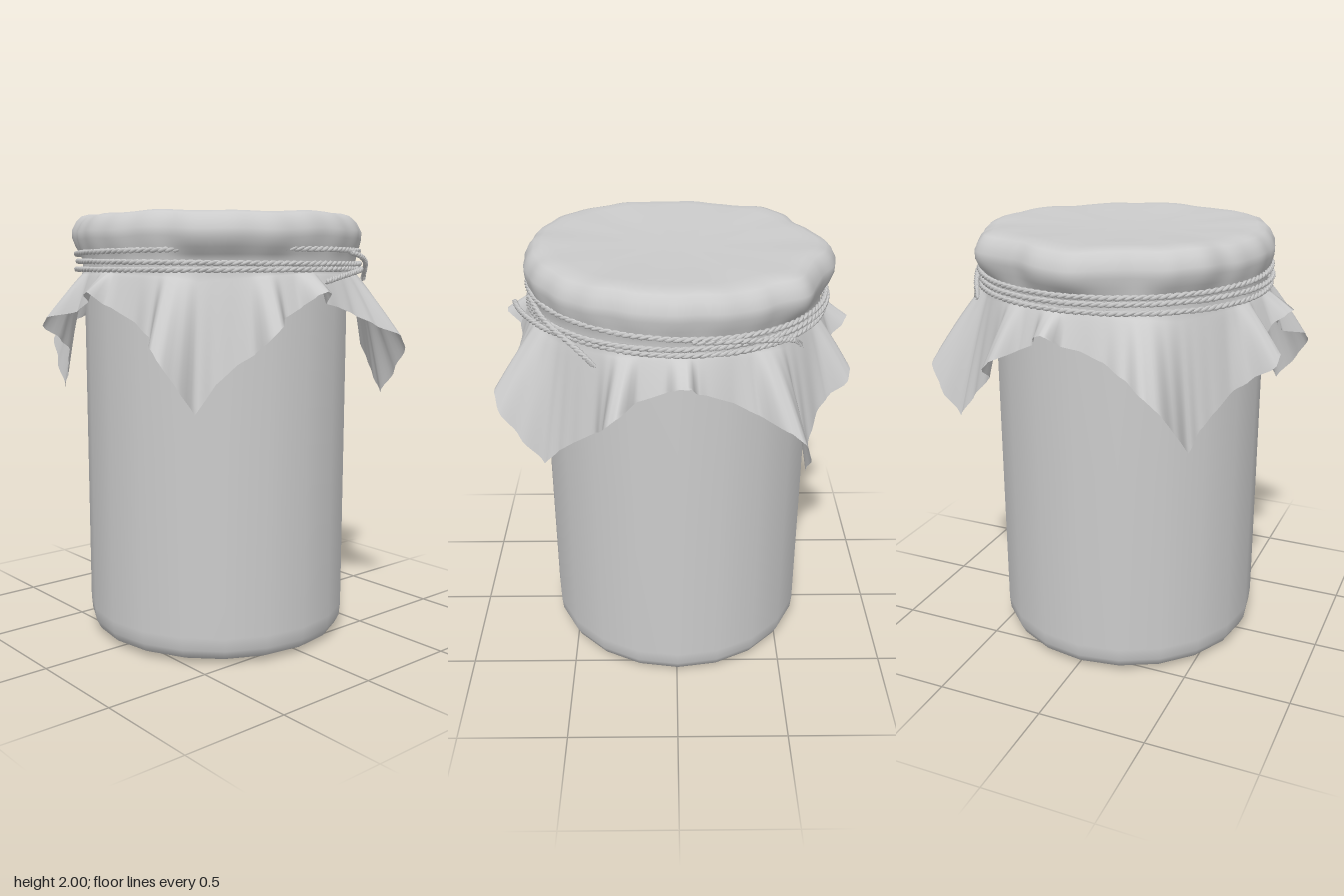
import * as THREE from 'three';

const grey = (opts = {}) => new THREE.MeshStandardMaterial({ color: 0xcccccc, ...opts });
const RAD = Math.PI / 180;
const COLS = 360;

// Cloth hem over a quarter turn: degrees, radius, height.
// The two quarters alternate around the jar.
const HEMS = [
  [
    [0, 0.71, 1.60], [2, 0.77, 1.645], [4, 0.775, 1.655], [7, 0.76, 1.64], [11, 0.705, 1.585],
    [17, 0.715, 1.55], [22, 0.82, 1.51], [25, 0.825, 1.47], [29, 0.755, 1.40], [34, 0.74, 1.36],
    [41, 0.76, 1.28], [47, 0.81, 1.16], [51, 0.885, 1.28], [55, 0.915, 1.38], [58, 0.88, 1.43],
    [63, 0.74, 1.47], [71, 0.70, 1.53], [80, 0.705, 1.58], [84, 0.72, 1.60], [86, 0.78, 1.65], [90, 0.76, 1.64],
  ],
  [
    [0, 0.76, 1.64], [4, 0.71, 1.60], [13, 0.715, 1.555], [17, 0.84, 1.53], [20, 0.85, 1.49],
    [24, 0.76, 1.42], [29, 0.715, 1.37], [37, 0.725, 1.30], [43, 0.74, 1.24], [48, 0.775, 1.16],
    [54, 0.84, 1.28], [59, 0.895, 1.39], [63, 0.885, 1.45], [68, 0.785, 1.50], [75, 0.72, 1.55],
    [83, 0.70, 1.585], [90, 0.71, 1.60],
  ],
];

// Cap outline seen from above: degrees, radius
const OUTLINE = [
  [0, 0.672], [24, 0.7], [45, 0.71], [63, 0.672], [90, 0.672], [117, 0.672], [132, 0.70], [140, 0.698],
  [156, 0.665], [180, 0.712], [206, 0.67], [222, 0.715], [236, 0.68], [270, 0.675], [300, 0.67],
  [319, 0.668], [338, 0.672], [360, 0.672],
];

// Row of the table at angle a, eased between its neighbours
function lookup(table, a) {
  const i = table.findIndex((p, k) => k > 0 && a <= p[0]);
  const p = table[i - 1], q = table[i];
  const t = (a - p[0]) / (q[0] - p[0]);
  return { p, q, t, r: p[1] + (q[1] - p[1]) * t * t * (3 - 2 * t) };
}

function hemAt(deg) {
  const { p, q, t, r } = lookup(HEMS[Math.floor(deg / 90) % 2], deg % 90);
  return { r, y: p[2] + (q[2] - p[2]) * t };
}

// Cap of the cloth, from the centre to the tied neck: radius, height, share of the outline
const CAP = [
  [0.001, 1.978, 0], [0.2, 1.978, 0], [0.4, 1.984, 0.2], [0.54, 1.992, 0.6], [0.60, 1.99, 0.9],
  [0.635, 1.98, 1], [0.66, 1.955, 1], [0.681, 1.915, 1], [0.68, 1.88, 1], [0.668, 1.84, 0.8],
  [0.655, 1.81, 0.3], [0.645, 1.78, 0.1], [0.645, 1.735, 0.1],
];
const SKIRT_ROWS = 14;

function clothGeometry() {
  const pos = [], index = [];
  const put = (r, y, deg) => pos.push(r * Math.cos(deg * RAD), y, r * Math.sin(deg * RAD));
  for (const [r, y, k] of CAP) {
    for (let j = 0; j < COLS; j++) {
      const th = j * RAD;
      const lump = lookup(OUTLINE, j).r - 0.683 + 0.003 * Math.sin(23 * th);
      const lift = 0.004 * Math.cos(5 * th + 0.6) + 0.003 * Math.cos(11 * th);
      put(r + lump * k, y + lift * k, j);
    }
  }
  // Skirt spreading from the neck to the hem
  for (let i = 1; i <= SKIRT_ROWS; i++) {
    const t = i / SKIRT_ROWS;
    for (let j = 0; j < COLS; j++) {
      const h = hemAt(j);
      put(0.645 + (h.r - 0.645) * Math.pow(t, 0.85), 1.735 + (h.y - 1.735) * t, j);
    }
  }
  const rows = CAP.length + SKIRT_ROWS;
  for (let i = 0; i < rows - 1; i++) {
    for (let j = 0; j < COLS; j++) {
      const a = i * COLS + j, b = i * COLS + (j + 1) % COLS;
      index.push(a, b, a + COLS, b, b + COLS, a + COLS);
    }
  }
  const g = new THREE.BufferGeometry();
  g.setAttribute('position', new THREE.Float32BufferAttribute(pos, 3));
  g.setIndex(index);
  g.computeVertexNormals();
  return g;
}

// Two-strand twisted cord following a curve
function cord(name, curve, twists, segments, closed) {
  const group = new THREE.Group();
  group.name = name;
  const up = new THREE.Vector3(0, 1, 0);
  for (let s = 0; s < 2; s++) {
    const pts = [];
    for (let i = 0; i < segments + (closed ? 0 : 1); i++) {
      const t = i / segments;
      const side = new THREE.Vector3().crossVectors(curve.getTangent(t), up).normalize();
      const a = t * twists * 2 * Math.PI + s * Math.PI;
      pts.push(curve.getPoint(t)
        .addScaledVector(side, 0.005 * Math.cos(a))
        .addScaledVector(up, 0.005 * Math.sin(a)));
    }
    const path = new THREE.CatmullRomCurve3(pts, closed);
    const strand = new THREE.Mesh(new THREE.TubeGeometry(path, segments, 0.0085, 5, closed), grey());
    strand.name = name + 'Strand';
    group.add(strand);
  }
  return group;
}

export function createModel() {
  const model = new THREE.Group();
  model.name = 'clothCoveredJar';

  // Jar with a dimpled base and rounded lower edge
  const profile = [
    [0, 0.035], [0.2, 0.03], [0.36, 0.015], [0.46, 0.002], [0.49, 0], [0.56, 0.012], [0.598, 0.03], [0.618, 0.07],
    [0.624, 0.13], [0.624, 1.0], [0.624, 1.62], [0.615, 1.7], [0.6, 1.75], [0.6, 1.93], [0, 1.93],
  ].map(([r, y]) => new THREE.Vector2(r, y));
  const jar = new THREE.Mesh(new THREE.LatheGeometry(profile, 20), grey());
  jar.name = 'jar';
  jar.position.set(-0.004, 0, 0.015);
  model.add(jar);

  // Cloth cover
  const cloth = new THREE.Mesh(clothGeometry(), grey({ side: THREE.DoubleSide }));
  cloth.name = 'clothCover';
  model.add(cloth);

  // Three turns of cord: height, tilt, direction of tilt
  for (const [y, tilt, phase] of [[1.743, 0.003, 0], [1.772, 0.006, 2], [1.816, 0.016, 0.3]]) {
    const pts = [];
    for (let i = 0; i < 24; i++) {
      const a = (i / 24) * 2 * Math.PI;
      const r = 0.664 + 0.005 * Math.cos(3 * a + phase);
      pts.push(new THREE.Vector3(r * Math.cos(a) - 0.008, y + tilt * Math.cos(a - phase), r * Math.sin(a)));
    }
    model.add(cord('cordTurn', new THREE.CatmullRomCurve3(pts, true), 60, 360, true));
  }

  // Loose cord ends: degrees, radius, height
  const ends = [
    [[-20, 0.67, 1.82], [-32, 0.68, 1.80], [-42, 0.69, 1.775], [-52, 0.70, 1.745], [-60, 0.72, 1.71], [-63, 0.73, 1.69]],
    [[-50, 0.665, 1.745], [-35, 0.675, 1.74], [-20, 0.69, 1.73], [-8, 0.71, 1.715], [2, 0.735, 1.695]],
    [[-95, 0.67, 1.80], [-112, 0.68, 1.79], [-125, 0.69, 1.765], [-133, 0.705, 1.74], [-136, 0.715, 1.71]],
  ];
  for (const e of ends) {
    const pts = e.map(([d, r, y]) => new THREE.Vector3(r * Math.cos(d * RAD), y, r * Math.sin(d * RAD)));
    model.add(cord('cordEnd', new THREE.CatmullRomCurve3(pts), 11, 70, false));
  }
  return model;
}
